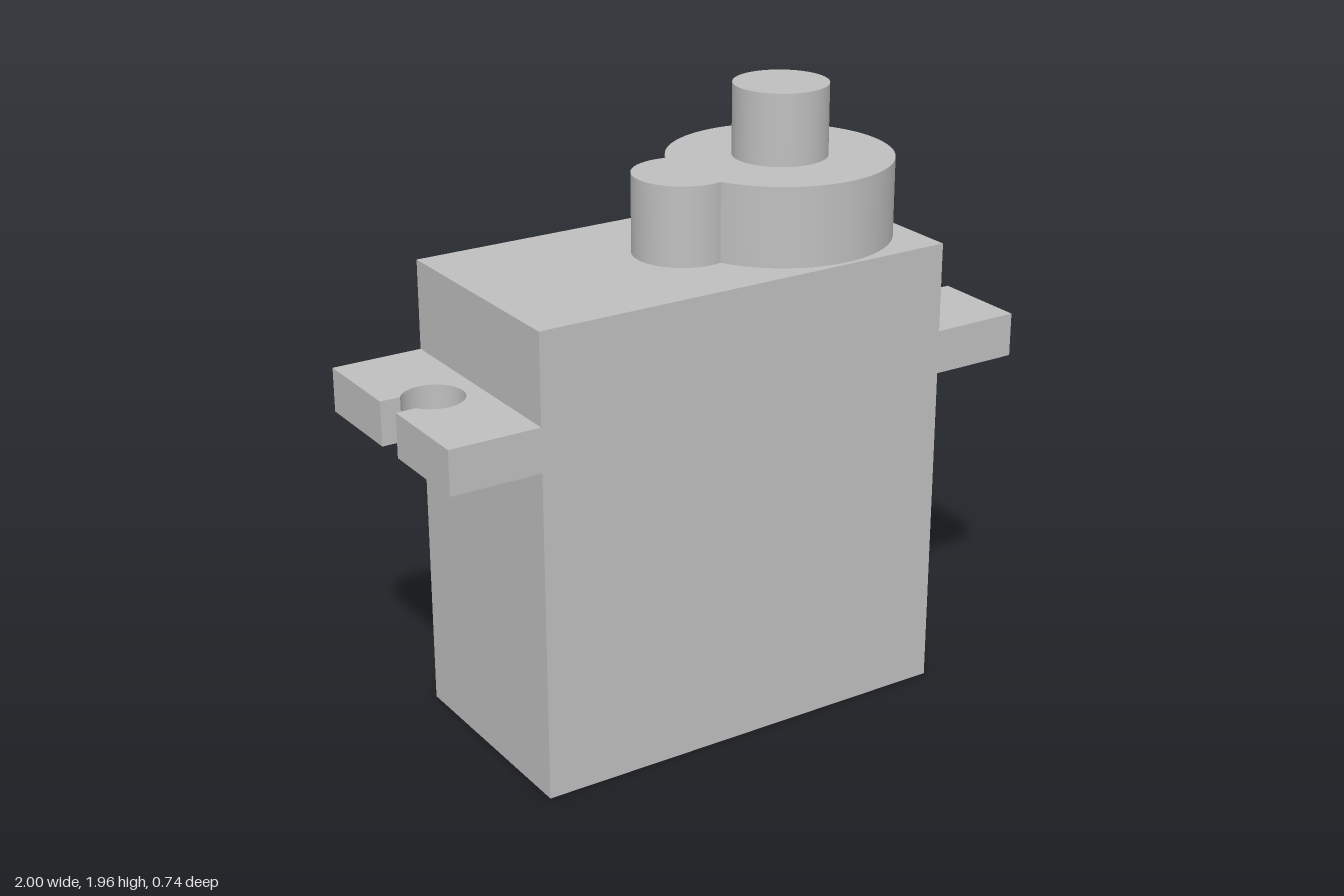
import * as THREE from 'three';
import { toCreasedNormals } from 'three/addons/utils/BufferGeometryUtils.js';

const BODY_X = 0.708, BODY_Z = 0.368, BODY_TOP = 1.485;

// Extrudes a shape and keeps only its sharp edges creased.
function extrude(shape, depth) {
  const geometry = new THREE.ExtrudeGeometry(shape, { depth, bevelEnabled: false, curveSegments: 48 });
  return toCreasedNormals(geometry, 0.5);
}

// Mounting ear outline with a round screw hole open to the outer edge.
function earShape() {
  const cx = 0.855, r = 0.095, slot = 0.05;
  const a = Math.asin(slot / r);
  const s = new THREE.Shape();
  s.moveTo(BODY_X, -BODY_Z);
  s.lineTo(1, -BODY_Z);
  s.lineTo(1, -slot);
  s.absarc(cx, 0, r, -a, a - Math.PI * 2, true);
  s.lineTo(1, slot);
  s.lineTo(1, BODY_Z);
  s.lineTo(BODY_X, BODY_Z);
  s.closePath();
  return s;
}

// Gear cover outline: a large circle merged with a small one.
function coverShape() {
  const d = 0.355, R = 0.352, r = 0.155;
  const x = (d * d + r * r - R * R) / (2 * d);
  const y = Math.sqrt(r * r - x * x);
  const big = Math.atan2(y, x - d), small = Math.atan2(y, x);
  const s = new THREE.Shape();
  s.absarc(d, 0, R, -big, big, false);
  s.absarc(0, 0, r, small, Math.PI * 2 - small, false);
  s.closePath();
  return s;
}

// Ribbon of three fused wires, seen end on.
function cableShape() {
  const half = 0.11, steps = 36, points = [];
  for (const side of [-1, 1]) {
    for (let i = 0; i <= steps; i++) {
      const t = i / steps;
      const lobe = 0.004 * Math.abs(Math.sin(t * Math.PI * 3));
      points.push(new THREE.Vector2(-side * half * (2 * t - 1) , side * (0.032 + lobe)));
    }
  }
  return new THREE.Shape(points);
}

export function createModel() {
  const model = new THREE.Group();
  const grey = new THREE.MeshStandardMaterial({ color: 0xbfbfbf });
  grey.name = 'plainGrey';

  const add = (name, geometry, x = 0, y = 0, z = 0) => {
    const mesh = new THREE.Mesh(geometry, grey);
    mesh.name = name;
    mesh.position.set(x, y, z);
    model.add(mesh);
    return mesh;
  };

  // Motor case
  add('case', new THREE.BoxGeometry(BODY_X * 2, BODY_TOP, BODY_Z * 2), 0, BODY_TOP / 2, 0);

  // Mounting ears on both ends
  const ear = extrude(earShape(), 0.14).rotateX(-Math.PI / 2);
  add('leftEar', ear, 0, 1.06, 0);
  add('rightEar', ear, 0, 1.06, 0).rotation.y = Math.PI;

  // Gear cover and output shaft
  add('gearCover', extrude(coverShape(), 0.25).rotateX(-Math.PI / 2), 0, BODY_TOP, 0);
  add('outputShaft', new THREE.CylinderGeometry(0.148, 0.148, 0.225, 64), 0.355, 1.8475, 0);

  // Cable stub on the left end
  add('cable', extrude(cableShape(), 0.187).rotateY(Math.PI / 2), BODY_X, 0.26, 0);

  return model;
}
